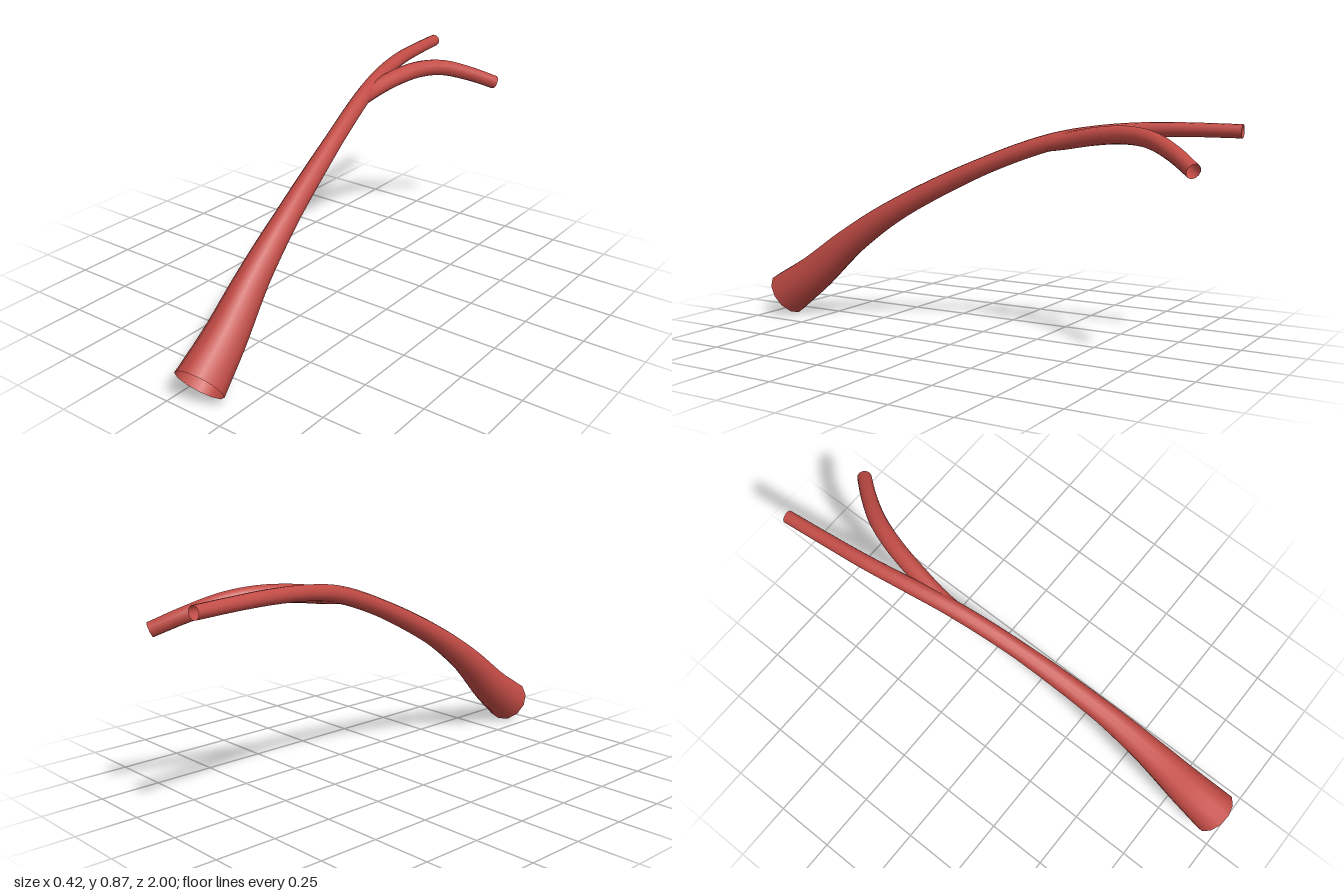
import * as THREE from 'three';

// Tapered open tube; each station is [x, y, z, radius]
function taperedTube(name, stations, segments, sides, material) {
  const curve = new THREE.CatmullRomCurve3(
    stations.map(([x, y, z]) => new THREE.Vector3(x, y, z)), false, 'centripetal');
  const geometry = new THREE.TubeGeometry(curve, segments, 1, sides, false);
  const pos = geometry.attributes.position;
  const v = new THREE.Vector3();
  for (let i = 0; i <= segments; i++) {
    const u = i / segments;
    const center = curve.getPointAt(u);
    // Blend the radius between neighbouring stations
    const t = curve.getUtoTmapping(u) * (stations.length - 1);
    const k = Math.min(Math.floor(t), stations.length - 2);
    const radius = THREE.MathUtils.lerp(stations[k][3], stations[k + 1][3], t - k);
    for (let j = 0; j <= sides; j++) {
      const n = i * (sides + 1) + j;
      v.fromBufferAttribute(pos, n).sub(center).multiplyScalar(radius).add(center);
      pos.setXYZ(n, v.x, v.y, v.z);
    }
  }
  const mesh = new THREE.Mesh(geometry, material);
  mesh.name = name;
  return mesh;
}

export function createModel() {
  const group = new THREE.Group();
  group.name = 'forkedVessel';

  const red = new THREE.MeshStandardMaterial({ color: 0xc24b45, side: THREE.DoubleSide });
  red.name = 'vesselRed';

  // Wide trunk running on into the straight branch
  group.add(taperedTube('trunk', [
    [0.11, 0.085, 0.945, 0.098],
    [0.095, 0.188, 0.8, 0.083],
    [0.072, 0.352, 0.6, 0.062],
    [0.045, 0.502, 0.37, 0.047],
    [-0.012, 0.685, 0, 0.036],
    [-0.065, 0.785, -0.27, 0.034],
    [-0.105, 0.822, -0.45, 0.031],
    [-0.142, 0.84, -0.65, 0.029],
    [-0.163, 0.843, -0.82, 0.027],
    [-0.182, 0.841, -1, 0.026],
  ], 60, 12, red));

  // Side branch, starting inside the trunk and curving down to the left
  group.add(taperedTube('sideBranch', [
    [-0.058, 0.772, -0.23, 0.028],
    [-0.062, 0.79, -0.33, 0.033],
    [-0.045, 0.814, -0.47, 0.035],
    [-0.015, 0.824, -0.61, 0.035],
    [0.03, 0.811, -0.73, 0.034],
    [0.1, 0.769, -0.845, 0.031],
    [0.175, 0.718, -0.945, 0.029],
  ], 36, 12, red));

  return group;
}
